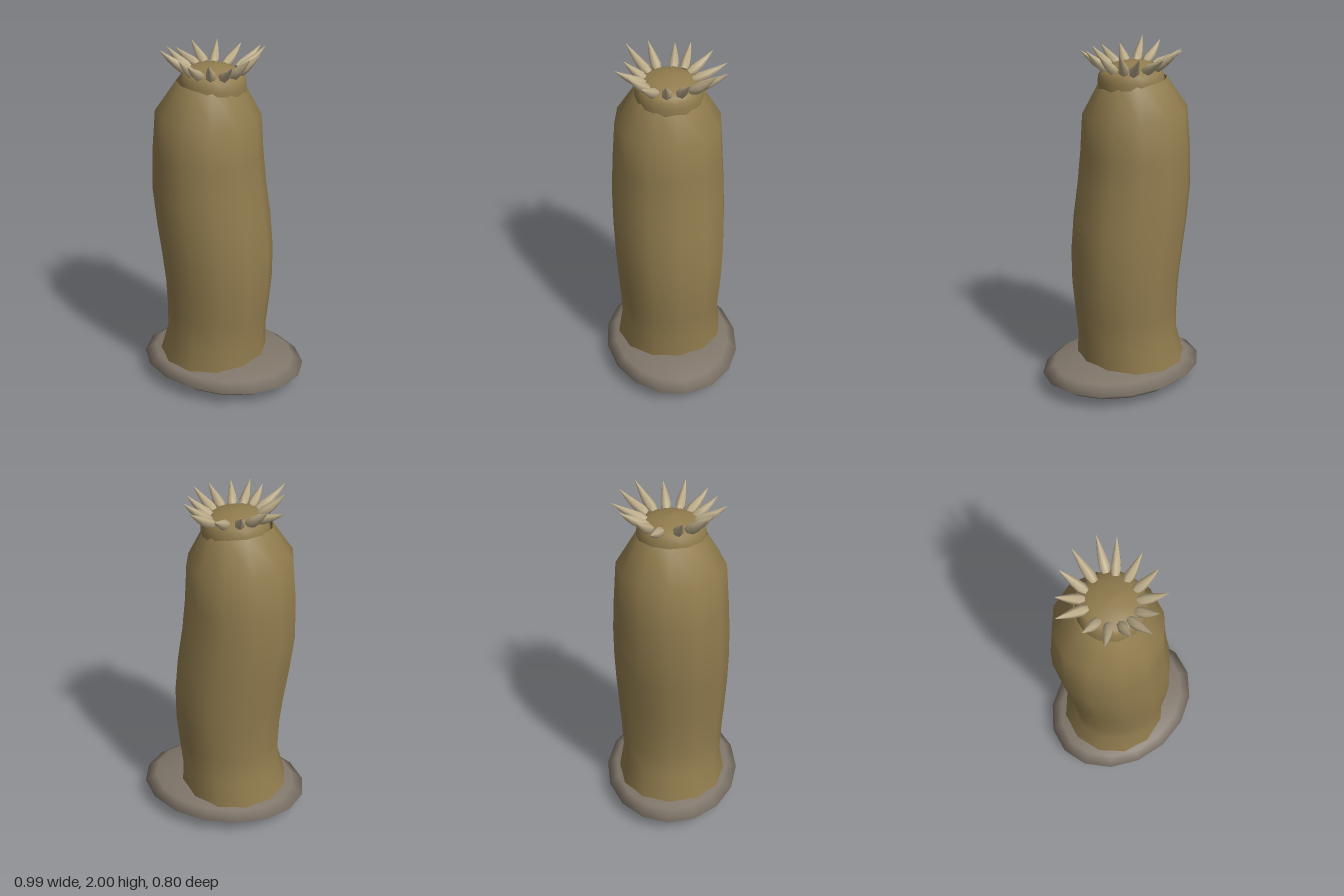
import * as THREE from 'three';

const paint = (name, color) => {
  const m = new THREE.MeshStandardMaterial({ color });
  m.name = name;
  return m;
};

// Closed-ring skin: each ring is a function of angle giving a Vector3
function loft(rings, sides, capStart) {
  const pos = [], idx = [];
  for (const ring of rings)
    for (let j = 0; j < sides; j++) pos.push(...ring((j / sides) * Math.PI * 2).toArray());
  for (let i = 0; i < rings.length - 1; i++)
    for (let j = 0; j < sides; j++) {
      const k = (j + 1) % sides;
      const a = i * sides + j, b = i * sides + k, c = a + sides, d = b + sides;
      idx.push(a, c, b, b, c, d);
    }
  if (capStart) {
    // separate vertices keep the blunt end crisp
    const base = pos.length / 3;
    pos.push(...pos.slice(0, sides * 3));
    for (let j = 1; j < sides - 1; j++) idx.push(base, base + j, base + j + 1);
  }
  const g = new THREE.BufferGeometry();
  g.setAttribute('position', new THREE.Float32BufferAttribute(pos, 3));
  g.setIndex(idx);
  g.computeVertexNormals();
  return g;
}

// Curved, tapering spike from base to tip
function spikeGeometry(base, tip) {
  const mid = base.clone().lerp(tip, 0.5);
  mid.y = base.y + (tip.y - base.y) * 0.36;
  const curve = new THREE.QuadraticBezierCurve3(base, mid, tip);
  const radii = [0.021, 0.029, 0.024, 0.014, 0.001];
  const stops = [0, 0.2, 0.45, 0.72, 1];
  const rings = radii.map((r, i) => {
    const p = curve.getPoint(stops[i]), t = curve.getTangent(stops[i]);
    const side = new THREE.Vector3(0, 1, 0).cross(t).normalize();
    const up = t.clone().cross(side);
    return (a) => p.clone()
      .addScaledVector(side, Math.sin(a) * r)
      .addScaledVector(up, Math.cos(a) * r);
  });
  return loft(rings, 6, true);
}

export function createModel() {
  const model = new THREE.Group();
  const skin = paint('olive brown skin', 0x917c4e);
  const stone = paint('grey stone', 0x80766a);
  const horn = paint('pale tan', 0xbdad8a);
  const add = (name, geometry, material) => {
    const mesh = new THREE.Mesh(geometry, material);
    mesh.name = name;
    model.add(mesh);
    return mesh;
  };

  // Flattened oval foot
  const foot = add('foot', new THREE.SphereGeometry(1, 16, 6), stone);
  foot.scale.set(0.495, 0.09, 0.4);
  foot.position.y = 0.094;

  // Swaying column: height, centre x, radius, sideways slope
  const column = [
    [0.10, -0.07, 0.325, 0], [0.30, -0.042, 0.292, -0.04], [0.46, -0.032, 0.3, 0],
    [0.62, -0.027, 0.311, 0.02], [0.80, -0.036, 0.321, 0.06], [1.0, -0.06, 0.325, 0.09],
    [1.2, -0.087, 0.322, 0.06], [1.4, -0.095, 0.311, 0], [1.63, -0.09, 0.294, -0.07],
    [1.805, -0.076, 0.188, -0.08],
  ].map(([y, cx, r, slope]) => (a) => new THREE.Vector3(
    cx + r * Math.cos(-a), y + slope * r * Math.cos(-a), -r * Math.sin(-a)));
  const body = add('column', loft(column.map((f) => (a) => f(-a)), 12, false), skin);
  body.material.side = THREE.DoubleSide;

  // Raised lip and domed mouth disc
  const profile = [[0.186, -0.03], [0.184, 0.005], [0.176, 0.04], [0.16, 0.06],
    [0.12, 0.08], [0.06, 0.096], [0, 0.1]].map(([r, y]) => new THREE.Vector2(r, y));
  const disc = add('mouthDisc', new THREE.LatheGeometry(profile, 20), skin);
  disc.position.set(-0.062, 1.805, 0);
  disc.rotation.z = -0.07;

  // Crown of spikes: base x, base z, tip x, tip z, tip y
  const crown = [
    [-0.12, -0.12, -0.17, -0.26, 1.97], [-0.055, -0.13, -0.045, -0.31, 1.955],
    [0.02, -0.13, 0.09, -0.28, 1.965], [0.045, -0.09, 0.155, -0.2, 1.985],
    [0.06, -0.03, 0.19, -0.055, 1.97], [0.06, 0.035, 0.19, 0.065, 1.975],
    [0.035, 0.085, 0.145, 0.185, 1.955], [-0.01, 0.12, 0.035, 0.235, 1.965],
    [-0.065, 0.13, -0.06, 0.285, 1.96], [-0.115, 0.12, -0.145, 0.225, 1.965],
    [-0.16, 0.085, -0.28, 0.19, 2.0], [-0.185, 0.035, -0.31, 0.065, 1.99],
    [-0.18, -0.05, -0.345, -0.09, 1.945], [-0.16, -0.1, -0.28, -0.165, 1.975],
  ];
  crown.forEach(([bx, bz, tx, tz, ty], i) => {
    const base = new THREE.Vector3(bx, 1.868 - 0.07 * (bx + 0.062), bz);
    add(`spike${i + 1}`, spikeGeometry(base, new THREE.Vector3(tx, ty, tz)), horn);
  });
  return model;
}
